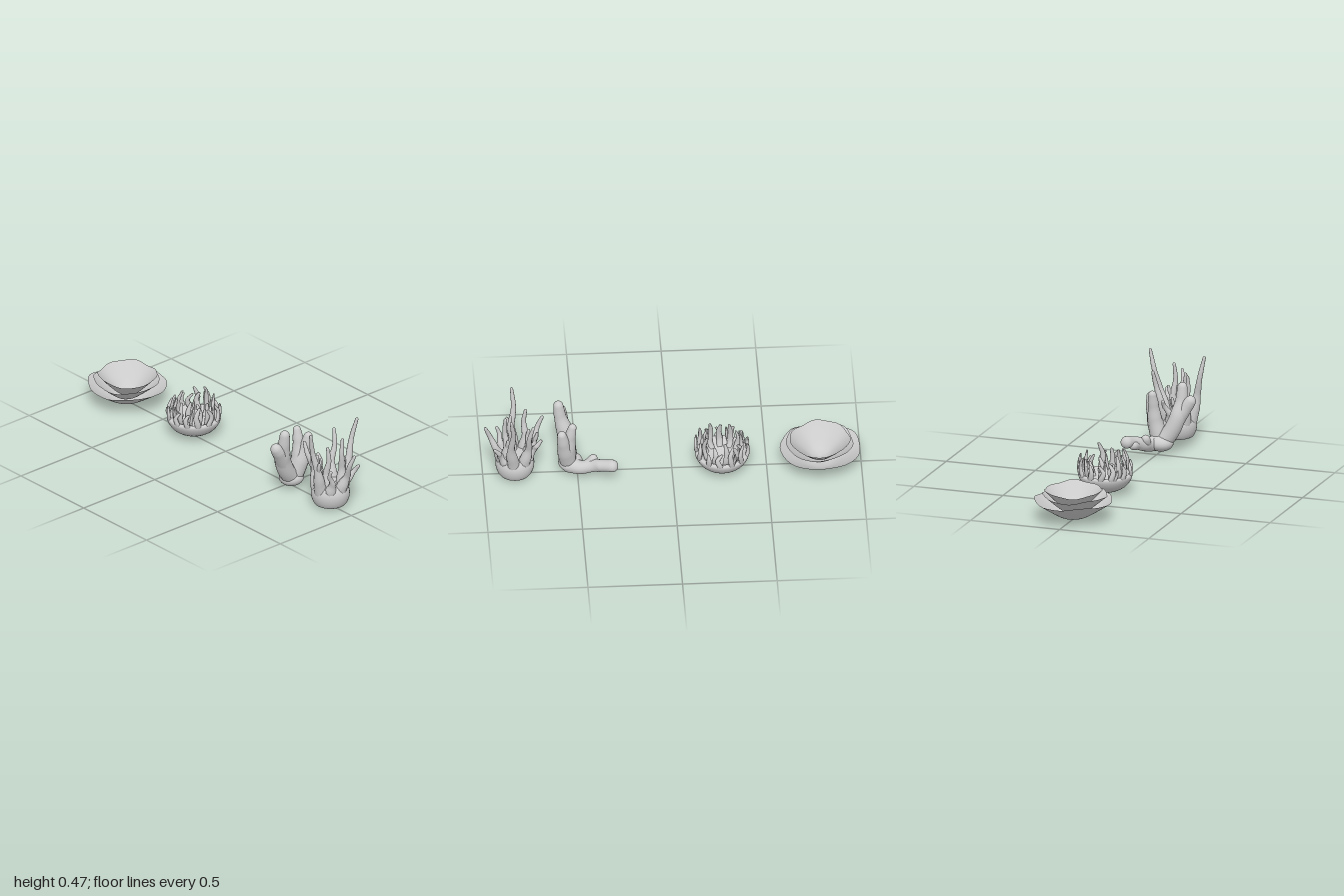
import * as THREE from 'three';
import { mergeVertices, mergeGeometries } from 'three/addons/utils/BufferGeometryUtils.js';

const material = new THREE.MeshStandardMaterial({ color: 0xcccccc });
const thinMaterial = new THREE.MeshStandardMaterial({ color: 0xcccccc, side: THREE.DoubleSide });

function seeded(seed) {
  return () => (seed = (seed * 16807) % 2147483647) / 2147483647;
}

// Weld seams and shade smoothly
function smooth(geometry) {
  geometry.deleteAttribute('uv');
  geometry.deleteAttribute('normal');
  const welded = mergeVertices(geometry, 1e-5);
  welded.computeVertexNormals();
  return welded;
}

// Round-tipped limb through points, with radii interpolated along its length
function limb(points, radii, sides = 10, steps = 32) {
  const curve = new THREE.CatmullRomCurve3(points.map(p => new THREE.Vector3(...p)));
  const geometry = new THREE.TubeGeometry(curve, steps, 1, sides);
  const pos = geometry.attributes.position;
  const v = new THREE.Vector3();
  // rounded tip about as long as it is thick
  const tipStart = 1 - Math.min(0.3, radii.at(-1) / curve.getLength());
  for (let i = 0; i <= steps; i++) {
    const u = i / steps;
    const t = 1 - (1 - u) ** 1.6; // closer rings near the tip
    const centre = curve.getPointAt(t), rawCentre = curve.getPointAt(u);
    const f = t * (radii.length - 1), k = Math.min(Math.floor(f), radii.length - 2);
    let r = THREE.MathUtils.lerp(radii[k], radii[k + 1], THREE.MathUtils.smoothstep(f - k, 0, 1));
    if (t > tipStart) r *= Math.sqrt(Math.max(0, 1 - ((t - tipStart) / (1 - tipStart)) ** 2));
    for (let j = 0; j <= sides; j++) {
      const n = i * (sides + 1) + j;
      v.fromBufferAttribute(pos, n).sub(rawCentre).multiplyScalar(r).add(centre);
      pos.setXYZ(n, v.x, v.y, v.z);
    }
  }
  return smooth(geometry);
}

function lathe(profile, segments) {
  const curve = new THREE.SplineCurve(profile.map(p => new THREE.Vector2(...p)));
  const points = curve.getPoints(24);
  points.forEach(p => { p.x = Math.max(0, p.x); });
  return new THREE.LatheGeometry(points, segments);
}

function add(group, name, geometry, mat = material) {
  const mesh = new THREE.Mesh(geometry, mat);
  mesh.name = name;
  group.add(mesh);
  return mesh;
}

// Nested, wavy-edged plates
function plateCoral() {
  const group = new THREE.Group();
  group.name = 'plateCoral';
  const layers = [
    { name: 'outerPlate', r: 0.208, base: 0.003, rim: 0.109, phase: 0.3, cx: 0, cz: 0 },
    { name: 'middlePlate', r: 0.174, base: 0.03, rim: 0.138, phase: 1.4, cx: 0.004, cz: 0.008 },
    { name: 'innerPlate', r: 0.158, base: 0.045, rim: 0.163, phase: 2.5, cx: 0.003, cz: -0.002 },
  ];
  for (const { name, r, base, rim, phase, cx, cz } of layers) {
    const h = rim - base;
    const geometry = lathe([[0, base], [r * 0.32, base + h * 0.14],
      [r * 0.68, base + h * 0.56], [r, rim]], 72);
    const pos = geometry.attributes.position;
    for (let i = 0; i < pos.count; i++) {
      const x = pos.getX(i), z = pos.getZ(i), a = Math.atan2(z, x);
      const w = (Math.hypot(x, z) / r) ** 2;
      const s = 1 + w * (0.015 * Math.cos(7 * a + phase) + 0.018 * Math.cos(2 * a));
      const lift = w * (0.007 * Math.sin(3 * a + phase) + 0.003 * Math.cos(7 * a + phase));
      pos.setXYZ(i, x * s + cx, pos.getY(i) + lift, z * s + cz);
    }
    add(group, name, smooth(geometry), thinMaterial);
  }
  group.position.set(-0.785, 0, 0);
  return group;
}

// Round cup ringed with upright flattened fingers
function cupCoral() {
  const group = new THREE.Group();
  group.name = 'cupCoral';
  const random = seeded(17);
  add(group, 'cup', smooth(lathe([[0, 0.012], [0.06, 0.019], [0.11, 0.046], [0.136, 0.08],
    [0.142, 0.106], [0.125, 0.113], [0.103, 0.095], [0.075, 0.075], [0, 0.062]], 40)), thinMaterial);

  function fingerRing(name, count, radius, top, spread) {
    const fingers = [];
    for (let i = 0; i < count; i++) {
      const h = top + spread * (random() - 0.5);
      const lean = 0.02 * (random() - 0.5), sway = 0.024 * (random() - 0.5);
      const finger = limb([[0, 0.075, radius - 0.02], [sway * 0.3, 0.11, radius - 0.003],
        [-sway * 0.5, (0.11 + h) / 2, radius + lean * 0.3], [sway, h, radius + lean - 0.008]],
        [0.01, 0.0105, 0.009, 0.005], 8, 16);
      // widen along the ring
      finger.scale(1.6, 1, 1);
      const parts = [finger];
      if (i % 2) {
        parts.push(limb([[0, 0.1, radius - 0.004], [0.014, 0.135, radius + 0.003],
          [0.019, h - 0.035, radius + 0.004]], [0.009, 0.008, 0.004], 6, 10));
      }
      for (const part of parts) {
        part.rotateY((i + 0.3 * random()) / count * Math.PI * 2);
        fingers.push(part);
      }
    }
    add(group, name, mergeGeometries(fingers));
  }
  fingerRing('outerFingers', 13, 0.138, 0.2, 0.05);
  fingerRing('innerFingers', 12, 0.106, 0.22, 0.06);
  group.position.set(-0.265, 0, -0.01);
  return group;
}

// Thick-limbed coral with one limb lying sideways
function lobedCoral() {
  const group = new THREE.Group();
  group.name = 'lobedCoral';
  add(group, 'foot', new THREE.SphereGeometry(1, 28, 18).scale(0.065, 0.045, 0.068)).position.set(0.535, 0.06, 0.01);
  const limbs = {
    trunk: [[[0.54, 0.055, 0.01], [0.55, 0.12, 0.06], [0.56, 0.2, 0.095], [0.585, 0.29, 0.108], [0.597, 0.386, 0.11]],
      [0.046, 0.046, 0.044, 0.032, 0.025]],
    frontLobe: [[[0.56, 0.16, 0.085], [0.57, 0.22, 0.115], [0.58, 0.27, 0.145], [0.582, 0.315, 0.176]],
      [0.036, 0.037, 0.035, 0.027]],
    backLobe: [[[0.545, 0.065, 0.0], [0.56, 0.13, -0.022], [0.575, 0.22, -0.05], [0.588, 0.317, -0.068]],
      [0.045, 0.043, 0.033, 0.022]],
    innerLobe: [[[0.55, 0.1, -0.01], [0.548, 0.18, -0.028], [0.538, 0.27, -0.034], [0.523, 0.342, -0.035]],
      [0.042, 0.038, 0.029, 0.02]],
    sideLimb: [[[0.55, 0.06, -0.005], [0.485, 0.058, -0.04], [0.425, 0.075, -0.05], [0.37, 0.098, -0.082], [0.292, 0.115, -0.115]],
      [0.046, 0.038, 0.035, 0.031, 0.035]],
    sideKnob: [[[0.4, 0.08, -0.07], [0.36, 0.085, -0.073], [0.32, 0.095, -0.075]], [0.028, 0.026, 0.022]],
    lowKnob: [[[0.46, 0.065, -0.045], [0.43, 0.09, -0.035], [0.405, 0.128, -0.03]], [0.03, 0.027, 0.02]],
  };
  for (const [name, [points, radii]] of Object.entries(limbs)) add(group, name, limb(points, radii, 16));
  return group;
}

// Rounded base with a crown of tall thin branches
function antlerCoral() {
  const group = new THREE.Group();
  group.name = 'antlerCoral';
  const cx = 0.83;
  const base = add(group, 'base', smooth(lathe([[0, 0.011], [0.07, 0.013], [0.091, 0.03], [0.102, 0.065],
    [0.1, 0.1], [0.082, 0.13], [0.045, 0.142], [0, 0.142]], 36)));
  base.position.set(cx, 0, -0.003);

  const tips = [
    [0.84, 0.464, 0.145], [0.858, 0.472, -0.168], [0.99, 0.34, -0.035], [0.68, 0.34, 0.05],
    [0.737, 0.387, -0.11], [0.768, 0.37, 0.075], [0.882, 0.4, -0.042], [0.945, 0.245, -0.105],
    [0.925, 0.26, 0.075], [0.755, 0.275, 0.02], [0.69, 0.245, -0.035], [0.85, 0.36, 0.035],
  ];
  const branches = [], spurs = [];
  tips.forEach(([x, y, z], i) => {
    const a = Math.atan2(z, x - cx), c = Math.cos(a), s = Math.sin(a);
    const reach = Math.hypot(x - cx, z), r0 = Math.min(0.074, reach * 0.9);
    const bend = 0.008 * (i % 2 ? 1 : -1);
    const at = (r, h, side = 0) => [cx + c * r - s * side, h, s * r + c * side];
    const r1 = THREE.MathUtils.lerp(r0, reach, 0.35), r2 = THREE.MathUtils.lerp(r0, reach, 0.67);
    const h1 = 0.14 + (y - 0.14) * 0.28, h2 = 0.14 + (y - 0.14) * 0.65;
    branches.push(limb([at(r0 * 0.7, 0.065), at(r0, 0.125), at(r1, h1, bend), at(r2, h2, -bend), [x, y, z]],
      [0.04, 0.031, 0.018, 0.013, 0.0085]));
    // Short spurs part-way up some branches
    const d = i % 2 ? 1 : -1;
    if (i % 3 === 0) {
      spurs.push(limb([at(r1, h1, bend), at(r1 + 0.008, h1 + 0.03, bend + d * 0.015),
        at(r1 + 0.012, h1 + 0.065, bend + d * 0.022)], [0.014, 0.011, 0.007], 8, 12));
    }
  });
  add(group, 'branches', mergeGeometries(branches));
  add(group, 'spurs', mergeGeometries(spurs));
  return group;
}

export function createModel() {
  const model = new THREE.Group();
  model.name = 'coralSet';
  model.add(plateCoral(), cupCoral(), lobedCoral(), antlerCoral());
  return model;
}
